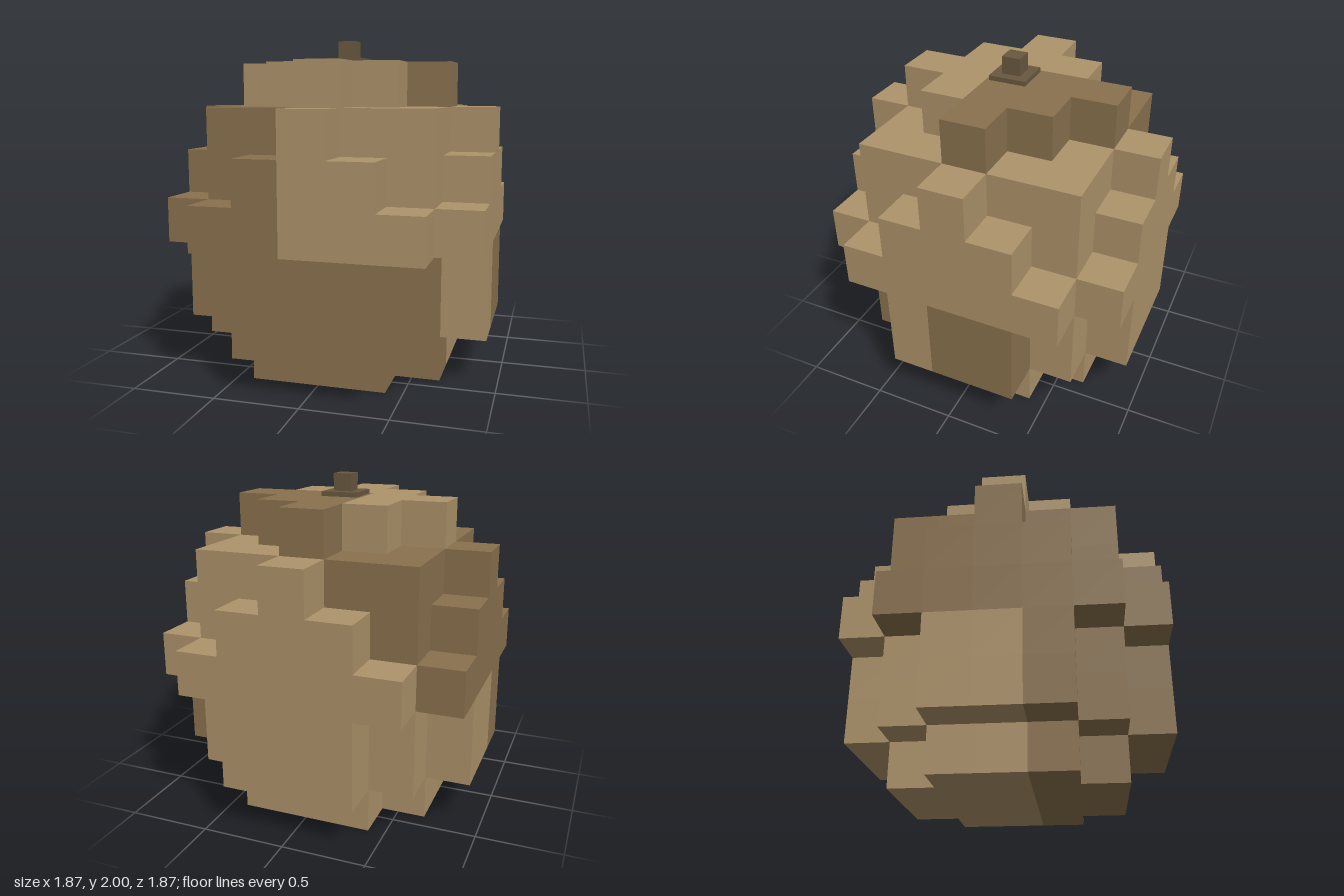
import * as THREE from 'three';
import { mergeGeometries } from 'three/addons/utils/BufferGeometryUtils.js';

const CELL = 2 / 7.5; // edge of one wooden cube
const MID = 3.5 * CELL; // height of the ball's centre

const mat = (name, color) => {
  const m = new THREE.MeshStandardMaterial({ color });
  m.name = name;
  return m;
};

// Panel outlines, given as u across and v up (or u = x, v = z on top and bottom)
const sidePanel = (u, v) => Math.abs(u) + Math.abs(v) <= 2 || (v < 0 && v >= -2 && Math.abs(u) <= 1);
const diamond = (u, v) => Math.abs(u) + Math.abs(v) <= 2;
const clipped = (u, v) => Math.max(Math.abs(u), Math.abs(v)) <= 2 && Math.abs(u) + Math.abs(v) < 4;
const lowPatch = (y, z) => y < 0 && (z === 0 || z === -1);

// Each part: which cells it fills and which of them are dark
const PARTS = [
  { name: 'core',
    has: (x, y, z) => Math.max(Math.abs(x), Math.abs(y), Math.abs(z)) <= 2,
    dark: (x, y, z) => (y > 0 ? x < 0 : z > 0) },
  { name: 'frontPanel', has: (x, y, z) => z === 3 && sidePanel(x, y), dark: (x, y) => x < 0 || y < 0 },
  { name: 'backPanel', has: (x, y, z) => z === -3 && sidePanel(x, y), dark: () => false },
  { name: 'leftPanel', has: (x, y, z) => x === 3 && sidePanel(z, y), dark: (x, y, z) => lowPatch(y, z) },
  { name: 'rightPanel', has: (x, y, z) => x === -3 && sidePanel(z, y), dark: (x, y, z) => !lowPatch(y, z) },
  { name: 'topPanel', has: (x, y, z) => y === 3 && diamond(x, z), dark: (x, y, z) => x >= 0 && z <= 0 },
  { name: 'bottomPanel', has: (x, y, z) => y === -3 && clipped(x, z), dark: (x, y, z) => z > 0 },
];
const solid = (x, y, z) => PARTS.some((p) => p.has(x, y, z));

// One cube face for each of the six directions
const FACES = [[1, 0, 0], [-1, 0, 0], [0, 1, 0], [0, -1, 0], [0, 0, 1], [0, 0, -1]].map((d) => {
  const g = new THREE.PlaneGeometry(CELL, CELL).translate(0, 0, CELL / 2);
  if (d[0]) g.rotateY((d[0] * Math.PI) / 2);
  else if (d[1]) g.rotateX((-d[1] * Math.PI) / 2);
  else if (d[2] < 0) g.rotateY(Math.PI);
  return { d, g };
});

// Collect the exposed cube faces of a part, sorted by wood colour
function partFaces(part) {
  const out = { light: [], dark: [] };
  for (let x = -3; x <= 3; x++)
    for (let y = -3; y <= 3; y++)
      for (let z = -3; z <= 3; z++) {
        if (!part.has(x, y, z)) continue;
        const list = part.dark(x, y, z) ? out.dark : out.light;
        for (const { d, g } of FACES)
          if (!solid(x + d[0], y + d[1], z + d[2]))
            list.push(g.clone().translate(x * CELL, y * CELL + MID, z * CELL));
      }
  return out;
}

export function createModel() {
  const group = new THREE.Group();
  group.name = 'blockBallOrnament';
  const woods = { light: mat('lightWood', 0xad936a), dark: mat('darkWood', 0x8a714e) };
  const stemMat = mat('stemBrown', 0x69583f);

  // Stepped ball: core and six raised panels
  for (const part of PARTS) {
    const partGroup = new THREE.Group();
    partGroup.name = part.name;
    for (const [tone, faces] of Object.entries(partFaces(part))) {
      if (!faces.length) continue;
      const mesh = new THREE.Mesh(mergeGeometries(faces), woods[tone]);
      mesh.name = `${part.name} ${tone}`;
      partGroup.add(mesh);
    }
    group.add(partGroup);
  }

  // Stem: thin square collar and a small knob
  const box = (name, w, y0, y1) => {
    const mesh = new THREE.Mesh(new THREE.BoxGeometry(w, y1 - y0, w), stemMat);
    mesh.name = name;
    mesh.position.y = (y0 + y1) / 2;
    group.add(mesh);
  };
  box('stemCollar', 0.227, 7 * CELL, 1.895);
  box('stemKnob', 0.113, 1.895, 2);
  return group;
}
